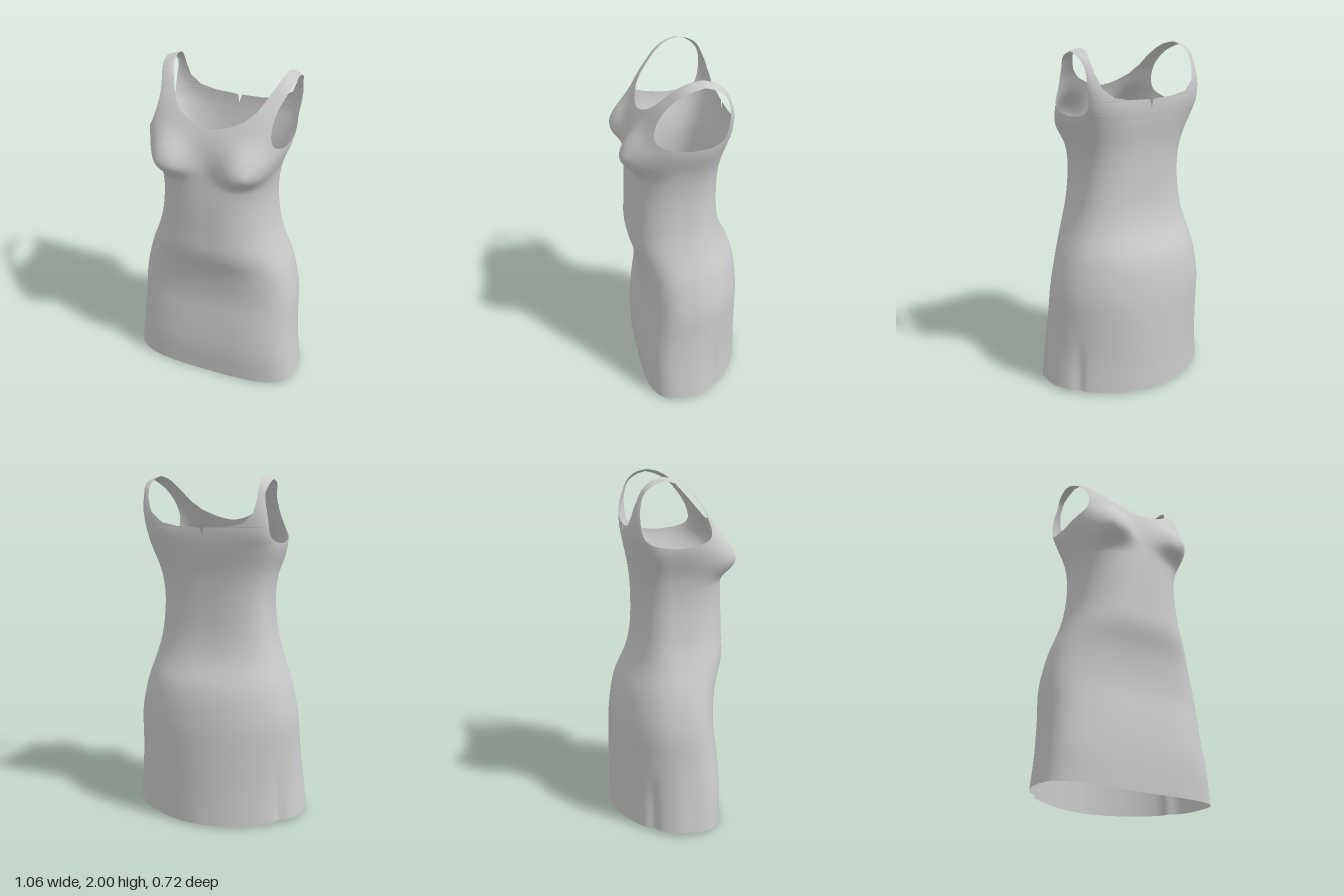
import * as THREE from 'three';
import { mergeVertices } from 'three/addons/utils/BufferGeometryUtils.js';

// Outline of the dress by height: y, half width, front z, back z, middle z, front and back squareness
const PROFILE = [
  [0.00, 0.530, 0.275, -0.360, 0.02, 3.6, 1.75],
  [0.20, 0.508, 0.283, -0.357, 0.02, 3.4, 1.8],
  [0.40, 0.492, 0.270, -0.355, 0.01, 3.1, 1.9],
  [0.60, 0.483, 0.250, -0.348, 0.00, 2.9, 2.0],
  [0.80, 0.440, 0.268, -0.315, 0.00, 2.7, 2.1],
  [0.96, 0.382, 0.313, -0.242, 0.00, 2.6, 2.3],
  [1.10, 0.342, 0.312, -0.210, 0.00, 2.6, 2.5],
  [1.30, 0.322, 0.306, -0.205, 0.00, 2.6, 2.6],
  [1.45, 0.338, 0.295, -0.215, 0.00, 2.8, 2.8],
  [1.60, 0.385, 0.275, -0.240, 0.00, 3.0, 3.4],
  [1.70, 0.392, 0.250, -0.250, 0.00, 3.5, 5.0],
  [1.80, 0.392, 0.200, -0.243, -0.03, 4.0, 6.0],
  [1.88, 0.390, 0.140, -0.220, -0.045, 4.4, 6.0],
  [1.95, 0.388, 0.072, -0.180, -0.058, 5.0, 6.0],
  [1.985, 0.386, 0.008, -0.125, -0.060, 5.7, 6.0],
  [2.00, 0.384, -0.060, -0.060, -0.060, 6.0, 6.0],
];
// Neck edge: y, half width of the opening (the back has a small notch)
const NECK_FRONT = [[1.74, 0], [1.747, 0.05], [1.765, 0.11], [1.8, 0.18], [1.85, 0.23], [1.92, 0.268], [1.97, 0.295], [2, 0.315]];
const NECK_BACK = [[1.67, 0], [1.72, 0.012], [1.726, 0.15], [1.745, 0.24],
  [1.8, 0.305], [1.88, 0.328], [1.95, 0.33], [2, 0.315]];
// Armhole edge: y, share of the depth taken by the opening
const ARM_FRONT = [[1.63, 0], [1.635, 0.18], [1.645, 0.4], [1.66, 0.57], [1.68, 0.69], [1.71, 0.77],
  [1.75, 0.82], [1.8, 0.85], [1.88, 0.85], [1.95, 0.79], [2, 0.7]];
const ARM_BACK = [[1.63, 0], [1.635, 0.27], [1.645, 0.48], [1.66, 0.62], [1.68, 0.70], [1.71, 0.75],
  [1.8, 0.79], [1.9, 0.82], [1.95, 0.77], [2, 0.7]];

function linear(table, y) {
  if (y <= table[0][0]) return table[0][1];
  for (let i = 1; i < table.length; i++) {
    const [a, b] = [table[i - 1], table[i]];
    if (y <= b[0]) return a[1] + (b[1] - a[1]) * (y - a[0]) / (b[0] - a[0]);
  }
  return table[table.length - 1][1];
}

// Smooth interpolation of one table column
function smooth(P, col, y) {
  if (y <= P[0][0]) return P[0][col];
  const last = P.length - 1;
  let i = 0;
  while (i < last - 1 && y > P[i + 1][0]) i++;
  const slope = (k) => {
    const a = P[Math.max(k - 1, 0)], b = P[Math.min(k + 1, last)];
    return (b[col] - a[col]) / (b[0] - a[0]);
  };
  const h = P[i + 1][0] - P[i][0], t = (y - P[i][0]) / h, t2 = t * t, t3 = t2 * t;
  return (2 * t3 - 3 * t2 + 1) * P[i][col] + (t3 - 2 * t2 + t) * h * slope(i)
    + (3 * t2 - 2 * t3) * P[i + 1][col] + (t3 - t2) * h * slope(i + 1);
}

// Forward swell of the bust
function bust(x, y) {
  const dx = (x - 0.23) / 0.135, dy = (y - 1.54) / (y > 1.54 ? 0.135 : 0.085);
  const tip = Math.hypot(x - 0.25, y - 1.55) / 0.035;
  return 0.092 * Math.exp(-Math.pow(dx * dx + dy * dy, 1.3)) + 0.01 * Math.exp(-tip * tip);
}

// Row heights, closer together around the bust, edges and shoulders
function rowHeights() {
  const ys = [];
  for (let i = 0; i < 35; i++) ys.push(i * 0.04);
  for (let y = 1.4; y < 1.629; y += 0.0115) ys.push(y);
  for (let y = 1.63; y < 1.96; y += 0.01) ys.push(y);
  ys.push(1.632, 1.635, 1.645, 1.726, 1.735, 1.745, 1.965, 1.973, 1.98, 1.986, 1.991, 1.995, 1.998, 2);
  return ys.map((y) => Math.round(y * 1e4) / 1e4).sort((a, b) => a - b).filter((y, i, a) => i === 0 || y - a[i - 1] > 0.0005);
}

// One quarter of the dress; front = 1 or -1, side = 1 or -1
function addQuarter(positions, indices, front, side) {
  const { smoothstep } = THREE.MathUtils;
  const ys = rowHeights(), cols = 40, base = positions.length / 3;
  for (const y of ys) {
    const w = smooth(PROFILE, 1, y), zc = smooth(PROFILE, 4, y), n = smooth(PROFILE, front > 0 ? 5 : 6, y);
    const depth = Math.abs(smooth(PROFILE, front > 0 ? 2 : 3, y) - zc);
    const other = (v) => Math.pow(Math.max(0, 1 - Math.pow(v, n)), 1 / n);
    const arm = smooth(front > 0 ? ARM_FRONT : ARM_BACK, 1, y);
    const neck = linear(front > 0 ? NECK_FRONT : NECK_BACK, y) / w;
    const from = Math.atan2(arm, other(arm)), to = Math.atan2(other(neck), neck);
    const lean = 0.025 * smoothstep(y, 1.65, 1.95);
    for (let j = 0; j <= cols; j++) {
      const a = from + (to - from) * j / cols;
      const c = Math.max(0, Math.cos(a)), s = Math.sin(a);
      // Soft upright fold in the skirt behind each side
      const fold = front > 0 ? 0 : 0.035 * Math.exp(-Math.pow((a - 0.48) / 0.08, 2)) * (1 - smoothstep(y, 0.05, 0.4));
      const r = Math.pow(Math.pow(c, n) + Math.pow(s, n), -1 / n) * (1 - fold);
      const x = w * c * r;
      let z = zc + front * depth * s * r;
      if (front > 0) z += bust(x, y) * Math.min(1, s * 1.6);
      const hemRise = Math.max(0, 1 - y) * (front > 0 ? 0.005 + 0.018 * c * c : 0.015 + 0.008 * c * c);
      const strapSlope = 0.3 * Math.max(0, x - 0.32) * smoothstep(y, 1.9, 2);
      positions.push(side * x + lean, y + hemRise - strapSlope, z);
    }
  }
  for (let i = 0; i < ys.length - 1; i++) {
    for (let j = 0; j < cols; j++) {
      const a = base + i * (cols + 1) + j, b = a + 1, d = a + cols + 1, e = d + 1;
      if (front * side > 0) indices.push(a, d, b, b, d, e);
      else indices.push(a, b, d, b, e, d);
    }
  }
}

function makeGeometry(positions, indices) {
  let g = new THREE.BufferGeometry();
  g.setAttribute('position', new THREE.Float32BufferAttribute(positions, 3));
  g.setIndex(indices);
  g = mergeVertices(g, 1e-4);
  g.computeVertexNormals();
  return g;
}

// Narrow lining strip running between front and back inside the skirt
function liningGeometry() {
  const path = new THREE.CatmullRomCurve3([
    [0.25, 0.85, 0.23], [0.16, 0.72, 0.215], [0.075, 0.57, 0.15], [0.03, 0.49, 0.01],
    [0.055, 0.53, -0.12], [0.11, 0.68, -0.2], [0.24, 0.9, -0.215],
  ].map((p) => new THREE.Vector3(...p)));
  const positions = [], indices = [], rows = 32, cols = 6;
  for (let i = 0; i <= rows; i++) {
    const p = path.getPoint(i / rows);
    for (let j = 0; j <= cols; j++) positions.push(p.x * (2 * j / cols - 1), p.y, p.z);
  }
  for (let i = 0; i < rows; i++) {
    for (let j = 0; j < cols; j++) {
      const a = i * (cols + 1) + j, d = a + cols + 1;
      indices.push(a, a + 1, d, a + 1, d + 1, d);
    }
  }
  return makeGeometry(positions, indices);
}

export function createModel() {
  const group = new THREE.Group();
  group.name = 'dress';
  const cloth = new THREE.MeshStandardMaterial({ color: 0xcccccc, side: THREE.DoubleSide });

  // Skirt, bodice and shoulder straps as one shell of four quarters
  const positions = [], indices = [];
  for (const front of [1, -1]) for (const side of [1, -1]) addQuarter(positions, indices, front, side);
  const shell = new THREE.Mesh(makeGeometry(positions, indices), cloth);
  shell.name = 'dressShell';
  group.add(shell);

  const lining = new THREE.Mesh(liningGeometry(), cloth);
  lining.name = 'innerLining';
  group.add(lining);
  return group;
}
